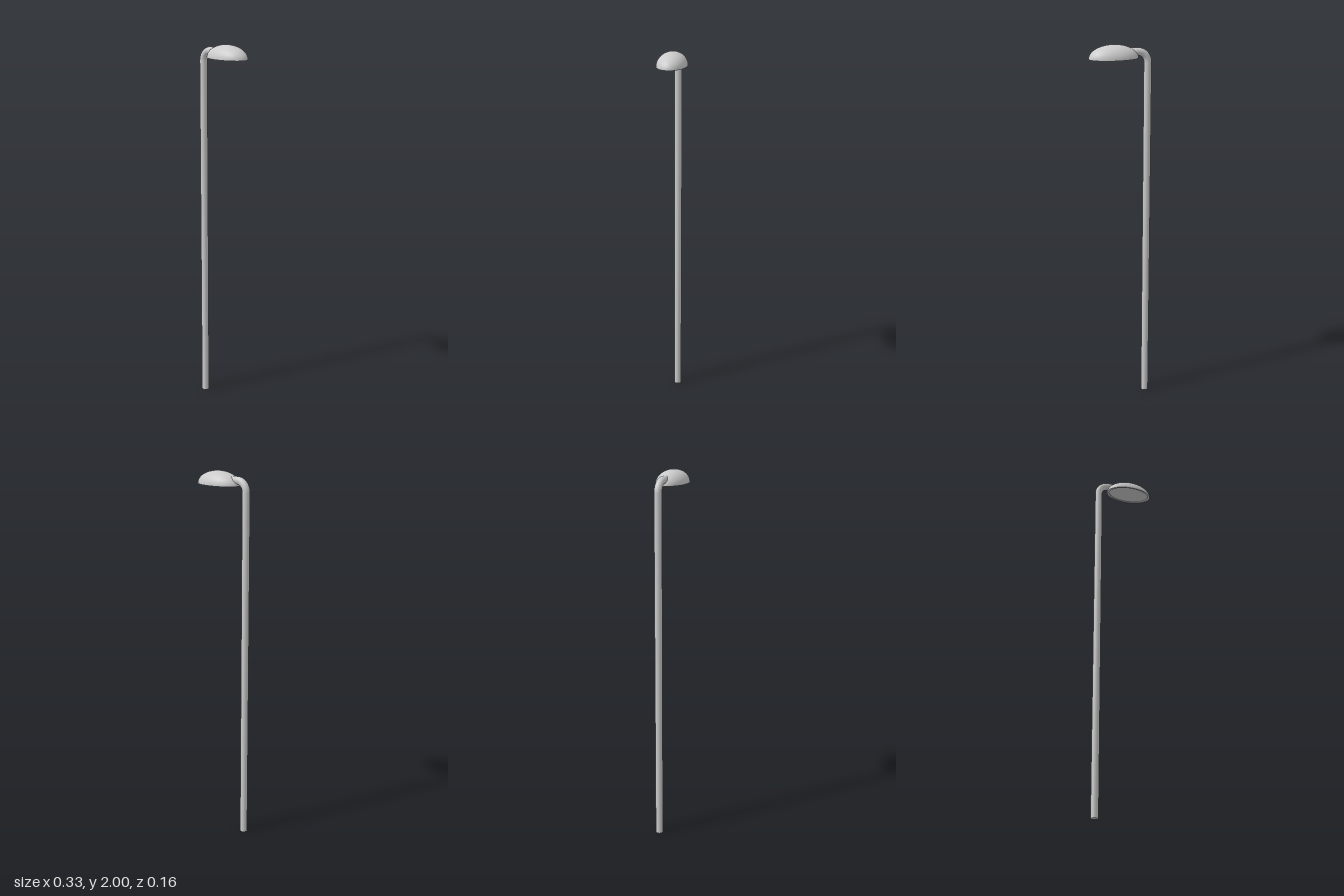
import * as THREE from 'three';

const POLE_X = -0.147, POLE_R = 0.02, ARM_Y = 1.96, BEND = 0.055;
const HEAD = { x: 0.035, y: 1.93, rx: 0.13, ry: 0.07, rz: 0.079 };

export function createModel() {
  const group = new THREE.Group();
  const grey = new THREE.MeshStandardMaterial({ color: 0xcccccc });
  const greyDouble = new THREE.MeshStandardMaterial({ color: 0xcccccc, side: THREE.DoubleSide });

  const add = (parent, name, geometry, material = grey) => {
    const mesh = new THREE.Mesh(geometry, material);
    mesh.name = name;
    parent.add(mesh);
    return mesh;
  };

  // Straight pole with a flat foot
  const poleH = ARM_Y - BEND;
  add(group, 'pole', new THREE.CylinderGeometry(POLE_R, POLE_R, poleH, 32, 1, true))
    .position.set(POLE_X, poleH / 2, 0);
  const foot = add(group, 'poleFoot', new THREE.CircleGeometry(POLE_R, 32));
  foot.rotation.x = Math.PI / 2;
  foot.position.x = POLE_X;

  // Quarter-circle bend
  const bend = add(group, 'poleBend', new THREE.TorusGeometry(BEND, POLE_R, 32, 20, Math.PI / 2));
  bend.rotation.z = Math.PI / 2;
  bend.position.set(POLE_X + BEND, poleH, 0);

  // Short arm running into the lamp head
  const armStart = POLE_X + BEND, armEnd = -0.04;
  const arm = add(group, 'arm', new THREE.CylinderGeometry(POLE_R, POLE_R, armEnd - armStart, 32));
  arm.rotation.z = Math.PI / 2;
  arm.position.set((armStart + armEnd) / 2, ARM_Y, 0);

  // Half-ellipsoid lamp head with a rim and a slightly recessed light panel
  const head = new THREE.Group();
  head.name = 'lampHead';
  head.position.set(HEAD.x, HEAD.y, 0);
  group.add(head);

  const inner = 0.9, recess = 0.006;
  const fit = (geometry) => geometry.scale(HEAD.rx, 1, HEAD.rz);
  add(head, 'lampShell', new THREE.SphereGeometry(1, 64, 24, 0, Math.PI * 2, 0, Math.PI / 2)
    .scale(HEAD.rx, HEAD.ry, HEAD.rz));
  add(head, 'lampRim', fit(new THREE.RingGeometry(inner, 1, 64).rotateX(Math.PI / 2)));
  add(head, 'rimWall', fit(new THREE.CylinderGeometry(inner, inner, recess, 64, 1, true)
    .translate(0, recess / 2, 0)), greyDouble);
  add(head, 'lightPanel', fit(new THREE.CircleGeometry(inner, 64).rotateX(Math.PI / 2)
    .translate(0, recess, 0)));

  return group;
}
